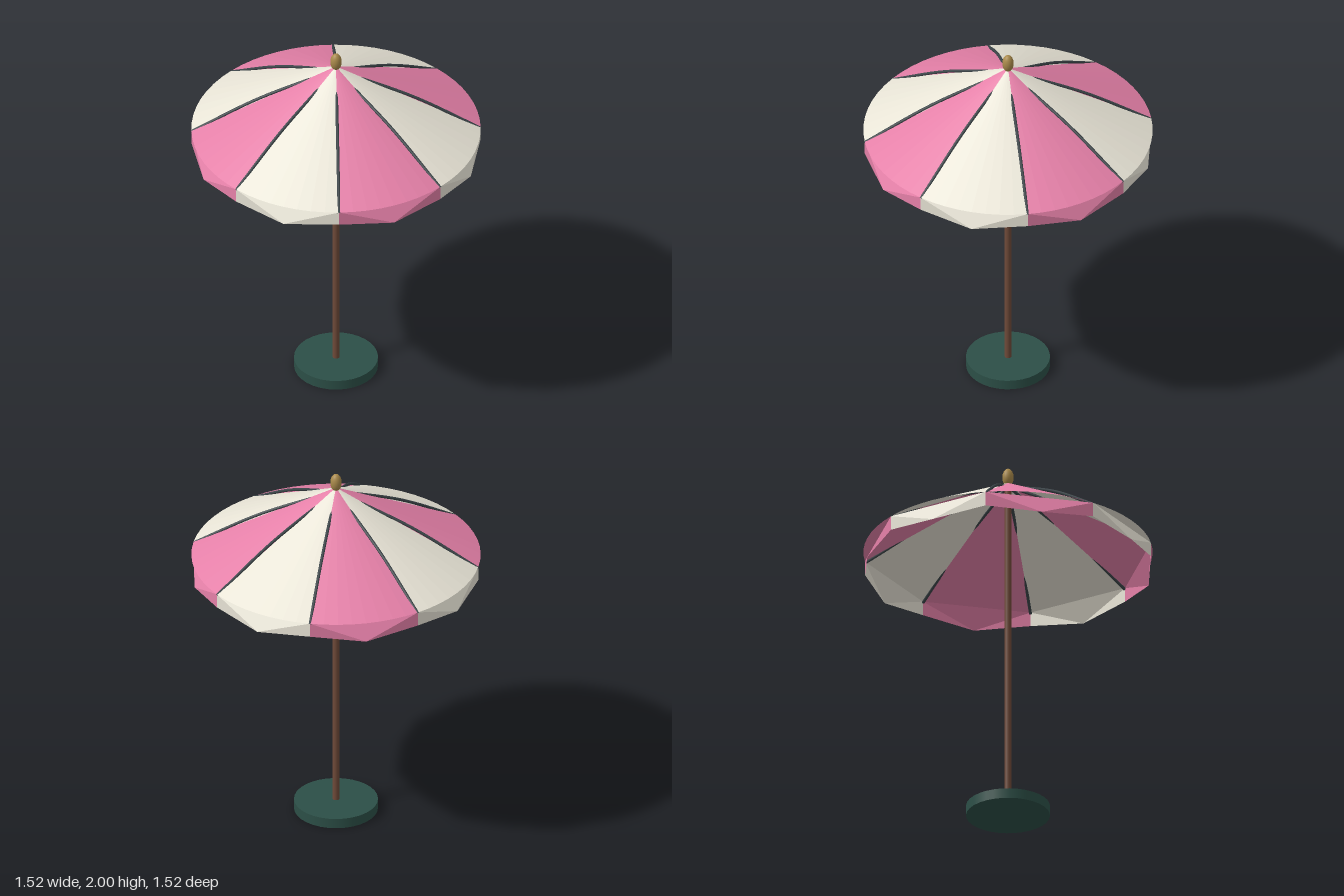
import * as THREE from 'three';

const PANELS = 8, STEP = Math.PI * 2 / PANELS;
const RADIUS = 0.757, RIM_Y = 1.52, APEX_Y = 1.92;

const paint = (color, extra = {}) => new THREE.MeshStandardMaterial({ color, ...extra });

// Point at an angle measured from +z towards +x
const polar = (r, y, a) => new THREE.Vector3(r * Math.sin(a), y, r * Math.cos(a));

// Hanging flap: straight top along the chord, pointed bottom bulging outwards
function valanceGeometry(a) {
  const b = a + STEP, mid = polar(RADIUS, 1.41, a + STEP / 2);
  const topA = polar(RADIUS, RIM_Y, a), topB = polar(RADIUS, RIM_Y, b);
  const lowA = polar(RADIUS, 1.442, a), lowB = polar(RADIUS, 1.442, b);
  const geo = new THREE.BufferGeometry().setFromPoints([
    topA, lowA, mid,
    topA, mid, topB,
    topB, mid, lowB,
  ]);
  geo.computeVertexNormals();
  return geo;
}

export function createModel() {
  const model = new THREE.Group();
  model.name = 'parasol';

  const add = (name, geometry, material, y = 0, parent = model) => {
    const mesh = new THREE.Mesh(geometry, material);
    mesh.name = name;
    mesh.position.y = y;
    parent.add(mesh);
    return mesh;
  };

  // Stand and pole
  add('base', new THREE.CylinderGeometry(0.22, 0.22, 0.055, 32), paint(0x2c4f47), 0.0275);
  add('pole', new THREE.CylinderGeometry(0.018, 0.018, 1.86, 16), paint(0x6f4a39), 0.98);

  // Egg-shaped finial
  const finial = add('finial', new THREE.SphereGeometry(0.03, 20, 14), paint(0xa8894a), 1.95);
  finial.scale.y = 0.05 / 0.03;

  // Canopy of alternating panels with valance flaps and bowed ribs
  const canopy = new THREE.Group();
  canopy.name = 'canopy';
  model.add(canopy);

  const cloth = [0xe580a8, 0xe9e5d7].map(
    (c) => paint(c, { side: THREE.DoubleSide, flatShading: true }));
  const ribMaterial = paint(0x3c4549);
  const height = APEX_Y - RIM_Y;

  for (let i = 0; i < PANELS; i++) {
    const a = i * STEP;
    add(`panel${i + 1}`, new THREE.ConeGeometry(RADIUS, height, 8, 1, true, a, STEP),
      cloth[i % 2], RIM_Y + height / 2, canopy);
    add(`valance${i + 1}`, valanceGeometry(a), cloth[i % 2], 0, canopy);

    const path = new THREE.CatmullRomCurve3([
      polar(0.02, 1.89, a), polar(0.41, 1.717, a), polar(0.756, 1.513, a)]);
    add(`rib${i + 1}`, new THREE.TubeGeometry(path, 16, 0.008, 8), ribMaterial, 0, canopy);
  }

  return model;
}
